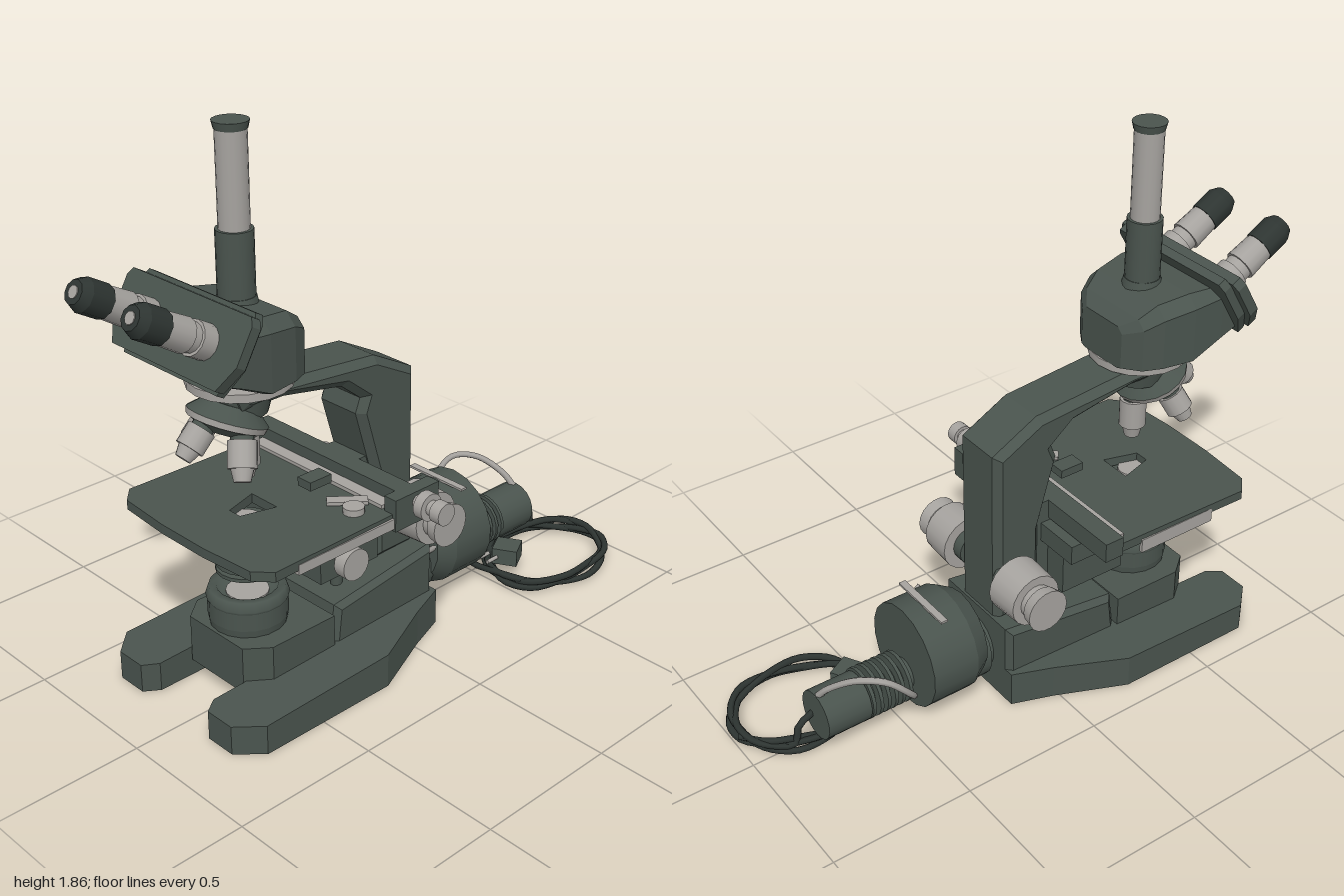
import * as THREE from 'three';

const mat = (name, color, side = THREE.FrontSide) => {
  const m = new THREE.MeshStandardMaterial({ color, side });
  m.name = name;
  return m;
};

export function createModel() {
  const enamel = mat('green grey enamel', 0x4a544e);
  const metal = mat('satin metal', 0xa6a39f);
  const black = mat('black rubber', 0x2e3532);
  const model = new THREE.Group();
  model.name = 'microscope';
  const body = new THREE.Group(); // everything is symmetric about this group's x = 0
  body.name = 'instrument';
  body.position.x = -0.055;
  model.add(body);

  // ---- helpers ----
  const add = (name, geo, m, parent = body) => {
    const mesh = new THREE.Mesh(geo, m);
    mesh.name = name;
    parent.add(mesh);
    return mesh;
  };
  const box = (name, m, w, h, d, x, y, z, parent) => {
    const b = add(name, new THREE.BoxGeometry(w, h, d), m, parent);
    b.position.set(x, y, z);
    return b;
  };
  // Cylinder from position a to b along one axis; u, v are the other two coordinates
  const rod = (name, m, axis, a, b, u, v, r0, r1 = r0, parent = body, seg = 18) => {
    const g = new THREE.CylinderGeometry(r1, r0, Math.abs(b - a), seg);
    const mid = (a + b) / 2;
    const c = add(name, g, m, parent);
    if (axis === 'y') c.position.set(u, mid, v);
    if (axis === 'x') { g.rotateZ(b > a ? -Math.PI / 2 : Math.PI / 2); c.position.set(mid, u, v); }
    if (axis === 'z') { g.rotateX(b > a ? Math.PI / 2 : -Math.PI / 2); c.position.set(u, v, mid); }
    return c;
  };
  const shapeOf = pts => new THREE.Shape(pts.map(p => new THREE.Vector2(...p)));
  // Side profile of [z, y] points, given width across x
  const side = (name, m, pts, w, bevel = 0) => {
    const g = new THREE.ExtrudeGeometry(shapeOf(pts), {
      depth: w - 2 * bevel, bevelEnabled: bevel > 0, bevelSize: bevel, bevelThickness: bevel,
      bevelOffset: -bevel, bevelSegments: 1,
    });
    return add(name, g.rotateY(-Math.PI / 2).translate(w / 2 - bevel, 0, 0), m);
  };
  // Floor plan of [x, z] points between two heights
  const plan = (name, m, pts, y0, y1, hole, parent) => {
    const s = shapeOf(pts);
    if (hole) s.holes.push(new THREE.Path(hole.map(p => new THREE.Vector2(...p))));
    const g = new THREE.ExtrudeGeometry(s, { depth: y1 - y0, bevelEnabled: false });
    return add(name, g.rotateX(Math.PI / 2).translate(0, y1, 0), m, parent);
  };
  const mirror = half => [...half, ...half.map(([x, z]) => [-x, z]).reverse()];
  const tube = (name, m, pts, r, n = 30, parent = body) => add(name, new THREE.TubeGeometry(
    new THREE.CatmullRomCurve3(pts.map(p => new THREE.Vector3(...p))), n, r, 6), m, parent);
  // Faceted loft through chamfered sections [z, halfWidth, bottom, top, chamfer]
  const loft = (name, m, secs) => {
    const pos = [], idx = [], n = 8;
    for (const [z, w, b, t, c] of secs) {
      for (const [x, y] of [[w, b + c / 3], [w, t - c], [w - c, t], [c - w, t], [-w, t - c], [-w, b + c / 3], [c - w, b], [w - c, b]]) pos.push(x, y, z);
    }
    for (let i = 0; i < secs.length - 1; i++) for (let j = 0; j < n; j++) {
      const a = i * n + j, b = i * n + (j + 1) % n;
      idx.push(a, b, b + n, a, b + n, a + n);
    }
    const e = (secs.length - 1) * n;
    for (let j = 1; j < n - 1; j++) idx.push(0, j + 1, j, e, e + j, e + j + 1);
    const g = new THREE.BufferGeometry();
    g.setAttribute('position', new THREE.Float32BufferAttribute(pos, 3));
    g.setIndex(idx);
    const flat = g.toNonIndexed();
    flat.computeVertexNormals();
    return add(name, flat, m);
  };

  // ---- foot: forked plan, rising towards the back ----
  const foot = plan('forkedFoot', enamel, mirror([
    [0.135, 0.38], [0.135, 0.76], [0.17, 0.81], [0.28, 0.81], [0.355, 0.73], [0.355, 0.22], [0.25, -0.02], [0.2, -0.16],
  ].reverse()), 0, 0.1);
  const fp = foot.geometry.attributes.position;
  for (let i = 0; i < fp.count; i++) {
    if (fp.getY(i) > 0.05) fp.setY(i, 0.1 + 0.03 * (0.81 - fp.getZ(i)));
  }
  foot.geometry.computeVertexNormals();
  plan('lampPedestal', enamel, mirror([[0.19, 0.3], [0.19, 0.56], [0.13, 0.635]]), 0.06, 0.225);
  side('rearPedestal', enamel, [[0.3, 0.08], [0.28, 0.245], [-0.16, 0.3], [-0.16, 0.02], [0.2, 0.02]], 0.37, 0.02);
  rod('fieldLampCollar', enamel, 'y', 0.22, 0.25, 0, 0.5, 0.125, 0.13);
  rod('fieldLampBody', enamel, 'y', 0.25, 0.31, 0, 0.5, 0.13);
  const lens = [[0.13, 0.31], [0.135, 0.32], [0.125, 0.35], [0.1, 0.35], [0.085, 0.325], [0, 0.325]].reverse();
  add('fieldLampRim', new THREE.LatheGeometry(lens.map(p => new THREE.Vector2(...p)).reverse(), 18), enamel).position.z = 0.5;
  rod('fieldLens', metal, 'y', 0.324, 0.33, 0, 0.5, 0.07);

  // ---- arm ----
  side('curvedArm', enamel, [
    [0.03, 0.28], [0.03, 0.6], [0.1, 0.84], [0.08, 0.89], [0.16, 0.955], [0.4, 1.0], [0.56, 1.0],
    [0.58, 1.05], [0.4, 1.055], [0.02, 1.02], [-0.15, 0.93], [-0.15, 0.28],
  ], 0.21, 0.025);
  rod('armNeck', enamel, 'y', 0.96, 1.06, 0, 0.5, 0.085, 0.11);

  // ---- nosepiece: tilted turret with four objectives ----
  const turret = new THREE.Group();
  turret.name = 'nosepiece';
  turret.position.set(0, 0.96, 0.55);
  turret.rotation.x = -0.4;
  turret.rotation.x *= -1;
  turret.rotation.x = -turret.rotation.x;
  body.add(turret);
  rod('turretDome', enamel, 'y', -0.005, 0.04, 0, 0, 0.13, 0.08, turret);
  rod('turretRing', metal, 'y', -0.025, -0.005, 0, 0, 0.125, 0.13, turret);
  rod('turretUnderside', enamel, 'y', -0.05, -0.025, 0, 0, 0.08, 0.12, turret);
  const lengths = [0.13, 0.15, 0.13, 0.17]; // front, left, right side, back
  [0, Math.PI / 2, -Math.PI / 2, Math.PI].forEach((a, i) => {
    const spin = new THREE.Group(), obj = new THREE.Group();
    spin.name = 'objectiveSeat';
    obj.name = 'objective';
    spin.rotation.y = a;
    obj.position.set(0, -0.02, 0.075);
    obj.rotation.x = -0.4;
    spin.add(obj);
    turret.add(spin);
    const L = lengths[i];
    rod('objectiveCollar', enamel, 'y', -0.04, 0.01, 0, 0, 0.036, 0.036, obj, 14);
    rod('objectiveBarrel', metal, 'y', -L * 0.8, -0.035, 0, 0, 0.046, 0.046, obj, 14);
    rod('objectiveTip', metal, 'y', -L - 0.01, -L * 0.8, 0, 0, 0.026, 0.036, obj, 14);
  });

  // ---- head ----
  rod('headMountRing', metal, 'y', 1.058, 1.085, 0, 0.5, 0.168);
  loft('binocularHead', enamel, [
    [0.34, 0.1, 1.085, 1.235, 0.02], [0.38, 0.16, 1.085, 1.27, 0.03], [0.44, 0.19, 1.085, 1.31, 0.04],
    [0.55, 0.21, 1.085, 1.325, 0.04], [0.66, 0.215, 1.14, 1.325, 0.03], [0.73, 0.215, 1.175, 1.2, 0.008],
  ]);
  const front = new THREE.Group();
  front.name = 'eyepieceUnit';
  front.position.set(0, 1.275, 0.7);
  front.rotation.x = Math.PI / 3;
  body.add(front);
  const plate = mirror([[0.27, -0.115], [0.287, -0.09], [0.287, 0.03], [0.24, 0.115]]);
  plan('frontPlate', enamel, plate, -0.005, 0.03, null, front);
  plan('backPlate', enamel, plate.map(([x, z]) => [x * 0.9, z * 1.12]), -0.035, -0.005, null, front);
  for (const s of [-1, 1]) {
    const x = s * 0.132;
    rod('eyepieceSocket', metal, 'y', 0.03, 0.085, x, 0, 0.055, 0.055, front, 14);
    rod('eyepieceSleeve', metal, 'y', 0.085, 0.115, x, 0, 0.046, 0.046, front, 14);
    rod('eyepieceBarrel', metal, 'y', 0.115, 0.205, x, 0, 0.054, 0.05, front, 14);
    rod('eyecup', black, 'y', 0.205, 0.285, x, 0, 0.054, 0.054, front, 10);
    rod('eyecupRim', black, 'y', 0.285, 0.315, x, 0, 0.054, 0.038, front, 10);
    rod('eyeLens', metal, 'y', 0.315, 0.318, x, 0, 0.02, 0.02, front, 10);
  }

  // ---- camera tube ----
  rod('tubeCollar', enamel, 'y', 1.3, 1.335, 0, 0.5, 0.068, 0.06);
  rod('lowerTube', enamel, 'y', 1.33, 1.54, 0, 0.5, 0.058);
  rod('upperTube', metal, 'y', 1.54, 1.84, 0, 0.5, 0.048);
  rod('tubeRim', enamel, 'y', 1.835, 1.86, 0, 0.5, 0.05, 0.056);

  // ---- stage ----
  plan('stagePlate', enamel, mirror([[0.345, 0.12], [0.355, 0.68], [0.3, 0.73], [0.1, 0.745]]), 0.585, 0.618,
    [[-0.025, 0.54], [0.025, 0.54], [0.06, 0.42], [-0.06, 0.42]]);
  box('stageRearBar', enamel, 0.73, 0.07, 0.07, -0.01, 0.635, 0.115);
  box('stageSlideRail', metal, 0.62, 0.012, 0.045, -0.01, 0.626, 0.175);
  box('stageSideRail', metal, 0.025, 0.035, 0.4, 0.342, 0.587, 0.39);
  box('stageLeftRail', metal, 0.012, 0.05, 0.3, -0.347, 0.575, 0.4);
  box('stageEndBracket', enamel, 0.05, 0.11, 0.19, 0.335, 0.615, 0.1);
  box('slideHolderArm', metal, 0.04, 0.012, 0.13, 0.2, 0.63, 0.25).rotation.y = -0.7;
  rod('slideHolderPivot', metal, 'y', 0.618, 0.64, 0.25, 0.27, 0.035);
  box('slideHolderBlock', enamel, 0.06, 0.03, 0.09, 0.06, 0.655, 0.26);
  [[0.36, 0.385, 0.022], [0.385, 0.42, 0.046], [0.42, 0.445, 0.025], [0.445, 0.485, 0.037]].forEach(([a, b, r]) =>
    rod('stageDriveKnob', metal, 'x', a, b, 0.635, 0.1, r));

  // ---- stage carrier and condenser ----
  box('stageCarrier', enamel, 0.48, 0.07, 0.34, 0, 0.555, 0.22);
  box('carrierBlock', enamel, 0.32, 0.2, 0.25, 0, 0.44, 0.205);
  box('focusSlide', enamel, 0.15, 0.36, 0.09, 0, 0.49, 0.05);
  rod('carrierStrut', enamel, 'y', 0.24, 0.36, 0.08, 0.19, 0.02);
  [[0.545, 0.575, 0.09], [0.49, 0.545, 0.105], [0.45, 0.49, 0.08], [0.435, 0.45, 0.1], [0.41, 0.422, 0.1]].forEach(([a, b, r]) =>
    rod('condenserRing', enamel, 'y', a, b, 0, 0.5, r));
  rod('condenserLens', metal, 'y', 0.575, 0.59, 0, 0.5, 0.05);
  for (const a of [0.6, 2.5, 4.4]) rod('filterPost', metal, 'y', 0.415, 0.44, 0.085 * Math.cos(a), 0.5 + 0.085 * Math.sin(a), 0.008);
  box('condenserArm', enamel, 0.1, 0.05, 0.2, 0, 0.5, 0.36);
  rod('condenserKnobShaft', metal, 'x', 0.15, 0.19, 0.41, 0.245, 0.025);
  rod('condenserKnob', metal, 'x', 0.19, 0.235, 0.41, 0.245, 0.055);

  // ---- focus knobs ----
  for (const s of [-1, 1]) {
    rod('focusHub', enamel, 'x', s * 0.09, s * 0.14, 0.45, -0.1, 0.06);
    rod('coarseKnob', metal, 'x', s * 0.13, s * 0.25, 0.45, -0.1, 0.098, 0.092);
    rod('fineKnobNeck', metal, 'x', s * 0.25, s * 0.275, 0.45, -0.1, 0.06);
    rod('fineKnob', metal, 'x', s * 0.275, s * 0.315, 0.45, -0.1, 0.068, 0.075);
  }

  // ---- lamp house with cooling fins ----
  rod('lampFlange', enamel, 'z', -0.15, -0.18, 0, 0.15, 0.1);
  rod('lampFlangeRing', enamel, 'z', -0.18, -0.235, 0, 0.15, 0.12);
  rod('lampHouseNose', enamel, 'z', -0.22, -0.28, 0, 0.225, 0.15, 0.185);
  rod('lampHouse', enamel, 'z', -0.28, -0.45, 0, 0.225, 0.185);
  box('lampVent', metal, 0.25, 0.008, 0.025, 0, 0.385, -0.37).position.y = 0.409;
  tube('lampClampLever', metal, [[0.09, 0.2, -0.21], [0.14, 0.25, -0.23], [0.2, 0.3, -0.27]], 0.01, 8);
  rod('lampNeck', enamel, 'z', -0.44, -0.65, 0, 0.15, 0.055);
  for (let i = 0; i < 6; i++) rod('coolingFin', enamel, 'z', -0.475 - i * 0.028, -0.487 - i * 0.028, 0, 0.15, 0.09);
  rod('lampSocket', enamel, 'z', -0.63, -0.79, 0, 0.145, 0.086);

  // ---- wiring ----
  tube('lampLead', metal, [
    [0, 0.22, -0.78], [-0.04, 0.27, -0.76], [-0.12, 0.33, -0.7], [-0.18, 0.33, -0.63], [-0.19, 0.25, -0.55], [-0.13, 0.17, -0.5], [-0.06, 0.13, -0.49],
  ], 0.012);
  const coil = [[0.03, 0.14, -0.77], [0.03, 0.1, -0.84]];
  for (let i = 0; i <= 38; i++) {
    const a = Math.PI + 0.5 + i * 0.52, w = Math.sin(i * 1.7);
    coil.push([0.19 + (0.185 + 0.012 * w) * Math.cos(a), 0.035 + 0.018 * Math.sin(i * 0.9), -0.745 + (0.238 + 0.012 * w) * Math.sin(a)]);
  }
  tube('coiledCable', black, coil, 0.012, 150);
  tube('cableTail', black, [[0.3, 0.03, -0.56], [0.2, 0.05, -0.5], [0.08, 0.04, -0.49], [0, 0.03, -0.53]], 0.012, 16);
  box('plug', enamel, 0.09, 0.06, 0.09, 0.155, 0.09, -0.575).rotation.y = 0.5;
  for (const s of [-1, 1]) rod('plugPin', metal, 'z', -0.52, -0.47, 0.135 + s * 0.02, 0.09, 0.007);
  return model;
}
